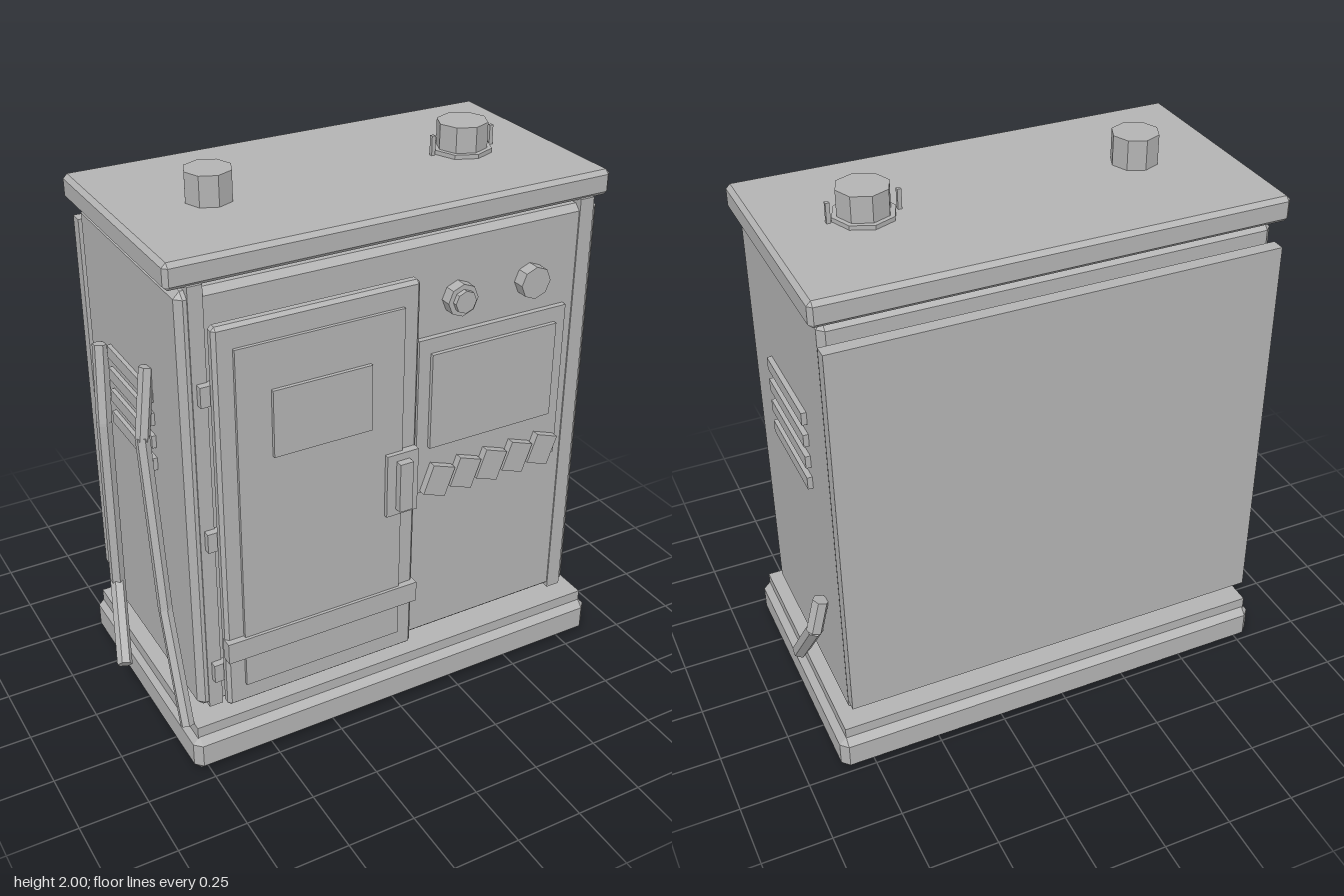
import * as THREE from 'three';
import { ConvexGeometry } from 'three/addons/geometries/ConvexGeometry.js';

export function createModel() {
  const model = new THREE.Group();
  model.name = 'utilityCabinet';
  const metal = new THREE.MeshStandardMaterial({ color: 0xb3b3b3 });
  metal.name = 'plain grey';
  metal.flatShading = true;

  function add(name, geometry, x = 0, y = 0, z = 0) {
    const mesh = new THREE.Mesh(geometry, metal);
    mesh.name = name;
    mesh.position.set(x, y, z);
    model.add(mesh);
    return mesh;
  }

  // Box given by its limits; c > 0 chamfers every edge
  function box(name, [x0, x1], [y0, y1], [z0, z1], c = 0) {
    const w = (x1 - x0) / 2, h = (y1 - y0) / 2, d = (z1 - z0) / 2;
    let geometry;
    if (c > 0) {
      const points = [];
      for (const sx of [-1, 1]) for (const sy of [-1, 1]) for (const sz of [-1, 1]) {
        points.push(
          new THREE.Vector3(sx * w, sy * (h - c), sz * (d - c)),
          new THREE.Vector3(sx * (w - c), sy * h, sz * (d - c)),
          new THREE.Vector3(sx * (w - c), sy * (h - c), sz * d));
      }
      geometry = new ConvexGeometry(points);
    } else {
      geometry = new THREE.BoxGeometry(w * 2, h * 2, d * 2);
    }
    return add(name, geometry, (x0 + x1) / 2, (y0 + y1) / 2, (z0 + z1) / 2);
  }

  // Hexagonal pipe through a list of points
  function pipe(name, points, r = 0.028) {
    const up = new THREE.Vector3(0, 1, 0);
    for (let i = 0; i + 1 < points.length; i++) {
      const a = new THREE.Vector3(...points[i]), b = new THREE.Vector3(...points[i + 1]);
      const dir = b.clone().sub(a);
      const mid = a.clone().add(b).multiplyScalar(0.5);
      const mesh = add(name, new THREE.CylinderGeometry(r, r, dir.length() + 0.012, 6), mid.x, mid.y, mid.z);
      mesh.quaternion.setFromUnitVectors(up, dir.normalize());
    }
  }

  // Plinth, body, roof and back panel
  box('base', [-0.80, 0.87], [0, 0.14], [-0.495, 0.46], 0.026);
  box('baseStep', [-0.78, 0.845], [0.13, 0.18], [-0.47, 0.435]);
  box('body', [-0.745, 0.81], [0.21, 1.79], [-0.435, 0.38], 0.022);
  box('roof', [-0.78, 0.845], [1.805, 1.895], [-0.475, 0.385], 0.015);
  box('backPanel', [-0.745, 0.82], [0.295, 1.73], [-0.497, -0.45]);
  box('frontPost', [-0.71, -0.66], [0.21, 1.81], [0.34, 0.385]);
  box('frontPost', [0.725, 0.78], [0.21, 1.81], [0.34, 0.385]);

  // Door with raised panel, window, strap, handle and hinges
  box('door', [-0.665, 0.065], [0.24, 1.69], [0.405, 0.45], 0.012);
  box('doorPanel', [-0.60, 0], [0.32, 1.61], [0.44, 0.462]);
  box('doorWindow', [-0.48, -0.125], [1.205, 1.445], [0.45, 0.475]);
  box('doorStrap', [-0.667, 0.067], [0.445, 0.525], [0.43, 0.473]);
  box('handlePlate', [-0.065, 0.055], [0.845, 1.085], [0.44, 0.478]);
  box('handleGrip', [-0.03, 0.02], [0.87, 1.058], [0.47, 0.505]);
  for (const y of [0.365, 0.905, 1.445]) {
    box('hinge', [-0.695, -0.645], [y - 0.036, y + 0.036], [0.375, 0.41]);
  }

  // Control panel, screen and tilted keys
  box('controlPanel', [0.095, 0.685], [0.845, 1.44], [0.37, 0.4]);
  box('screen', [0.14, 0.64], [1.025, 1.385], [0.39, 0.415]);
  for (let i = 0; i < 5; i++) {
    const key = add('key', new THREE.BoxGeometry(0.093, 0.113, 0.045), 0.177 + i * 0.109, 0.89, 0.405);
    key.rotation.z = -0.35;
  }

  // Round dials above the screen
  function dial(name, x, r, z0, z1) {
    const geometry = new THREE.CylinderGeometry(r, r, z1 - z0, 8).rotateX(Math.PI / 2);
    add(name, geometry, x, 1.563, (z0 + z1) / 2);
  }
  dial('dialRing', 0.247, 0.058, 0.37, 0.42);
  dial('dialCentre', 0.247, 0.04, 0.41, 0.437);
  dial('button', 0.534, 0.058, 0.37, 0.425);

  // Louvres on both sides
  for (let i = 0; i < 4; i++) {
    const y = 1.058 + i * 0.085;
    box('leftLouvre', [0.80, 0.828], [y, y + 0.046], [-0.225, 0.14]);
    box('rightLouvre', [-0.76, -0.735], [y, y + 0.046], [-0.225, 0.14]);
  }

  // Roof caps, one with a flange and two lugs
  add('roofCap', new THREE.CylinderGeometry(0.082, 0.082, 0.115, 8), -0.447, 1.9425, -0.025);
  add('roofCap', new THREE.CylinderGeometry(0.09, 0.09, 0.115, 8), 0.511, 1.9425, -0.025);
  add('capFlange', new THREE.CylinderGeometry(0.107, 0.107, 0.02, 8), 0.511, 1.9, -0.025);
  for (const s of [-1, 1]) {
    add('capLug', new THREE.BoxGeometry(0.014, 0.075, 0.014), 0.511 + s * 0.118, 1.927, -0.025);
  }

  // Bent pipes on the sides
  pipe('leftPipe', [[0.832, 0.60, -0.258], [0.863, 0.49, -0.265], [0.863, 0.18, -0.025]], 0.03);
  pipe('rearRightPipe', [[-0.762, 1.33, -0.29], [-0.785, 1.05, -0.25], [-0.785, 0.36, -0.26], [-0.867, 0.175, -0.02]]);
  pipe('frontRightPipe', [[-0.755, 1.43, 0.12], [-0.797, 1.2, 0.155], [-0.797, 0.58, 0.25], [-0.802, 0.185, 0.395]], 0.025);

  return model;
}
